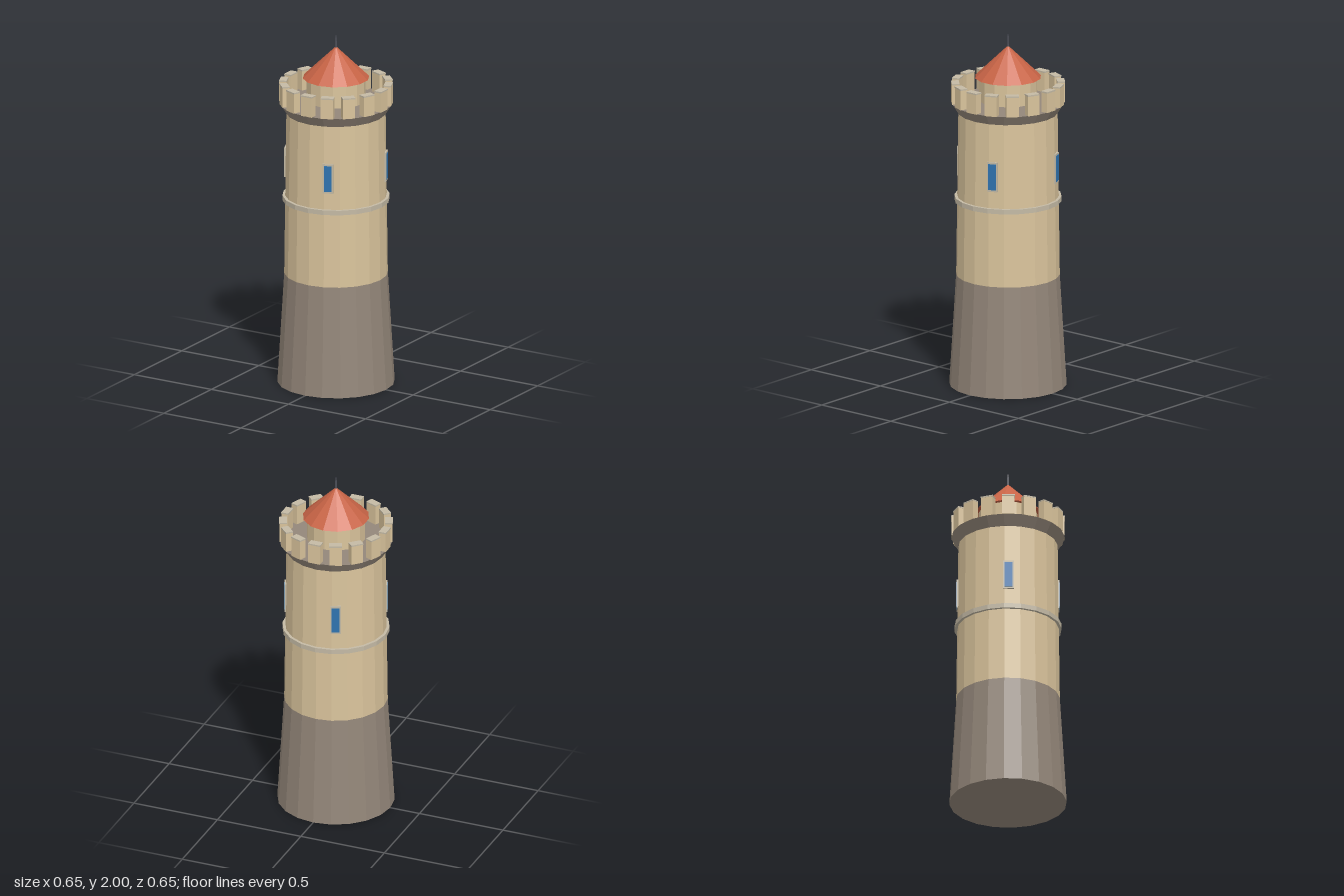
import * as THREE from 'three';

const SIDES = 20, ROOF_SIDES = 14, MERLONS = 16;

export function createModel() {
  const tower = new THREE.Group();
  tower.name = 'tower';

  const paint = (name, color) => {
    const m = new THREE.MeshStandardMaterial({ color, flatShading: true });
    m.name = name;
    return m;
  };
  const darkStone = paint('dark stone', 0x94877a);
  const sandstone = paint('sandstone', 0xdac49c);
  const paleTrim = paint('pale trim', 0xc4baa5);
  const terracotta = paint('terracotta', 0xc86446);
  const glass = paint('blue glass', 0x2f74b0);
  const iron = paint('iron', 0x4c4f58);

  const add = (parent, name, geometry, material, x = 0, y = 0, z = 0) => {
    const mesh = new THREE.Mesh(geometry, material);
    mesh.name = name;
    mesh.position.set(x, y, z);
    parent.add(mesh);
    return mesh;
  };
  // Round section standing between two heights
  const drum = (name, y0, y1, r0, r1, sides, material) =>
    add(tower, name, new THREE.CylinderGeometry(r1, r0, y1 - y0, sides), material, 0, (y0 + y1) / 2, 0);

  // Main body
  drum('base', 0, 0.63, 0.325, 0.287, SIDES, darkStone);
  drum('shaft', 0.63, 1.56, 0.287, 0.275, SIDES, sandstone);
  drum('stringCourse', 1.053, 1.08, 0.297, 0.297, SIDES, paleTrim);
  drum('parapetPlatform', 1.56, 1.617, 0.277, 0.313, SIDES, darkStone);

  // Turret, roof and finial
  drum('turret', 1.63, 1.765, 0.163, 0.163, ROOF_SIDES, sandstone);
  drum('roof', 1.76, 1.94, 0.185, 0, ROOF_SIDES, terracotta);
  drum('finial', 1.93, 2, 0.006, 0.004, 8, iron);

  // Ring of capped merlons
  const bodyShape = new THREE.BoxGeometry(0.07, 0.114, 0.041);
  const capShape = new THREE.BoxGeometry(0.072, 0.008, 0.043);
  for (let i = 0; i < MERLONS; i++) {
    const merlon = new THREE.Group();
    merlon.name = 'merlon';
    merlon.rotation.y = (i / MERLONS) * Math.PI * 2;
    add(merlon, 'merlonBody', bodyShape, sandstone, 0, 1.673, 0.292);
    add(merlon, 'merlonCap', capShape, paleTrim, 0, 1.732, 0.292);
    tower.add(merlon);
  }

  // Four framed windows, a quarter turn apart
  const frameShape = new THREE.BoxGeometry(0.06, 0.17, 0.03);
  const paneShape = new THREE.BoxGeometry(0.044, 0.148, 0.006);
  for (let i = 0; i < 4; i++) {
    const window = new THREE.Group();
    window.name = 'window';
    window.rotation.y = THREE.MathUtils.degToRad(22.5 + i * 90);
    add(window, 'windowFrame', frameShape, paleTrim, 0, 1.26, 0.27);
    add(window, 'windowPane', paneShape, glass, 0, 1.26, 0.285);
    tower.add(window);
  }

  return tower;
}
